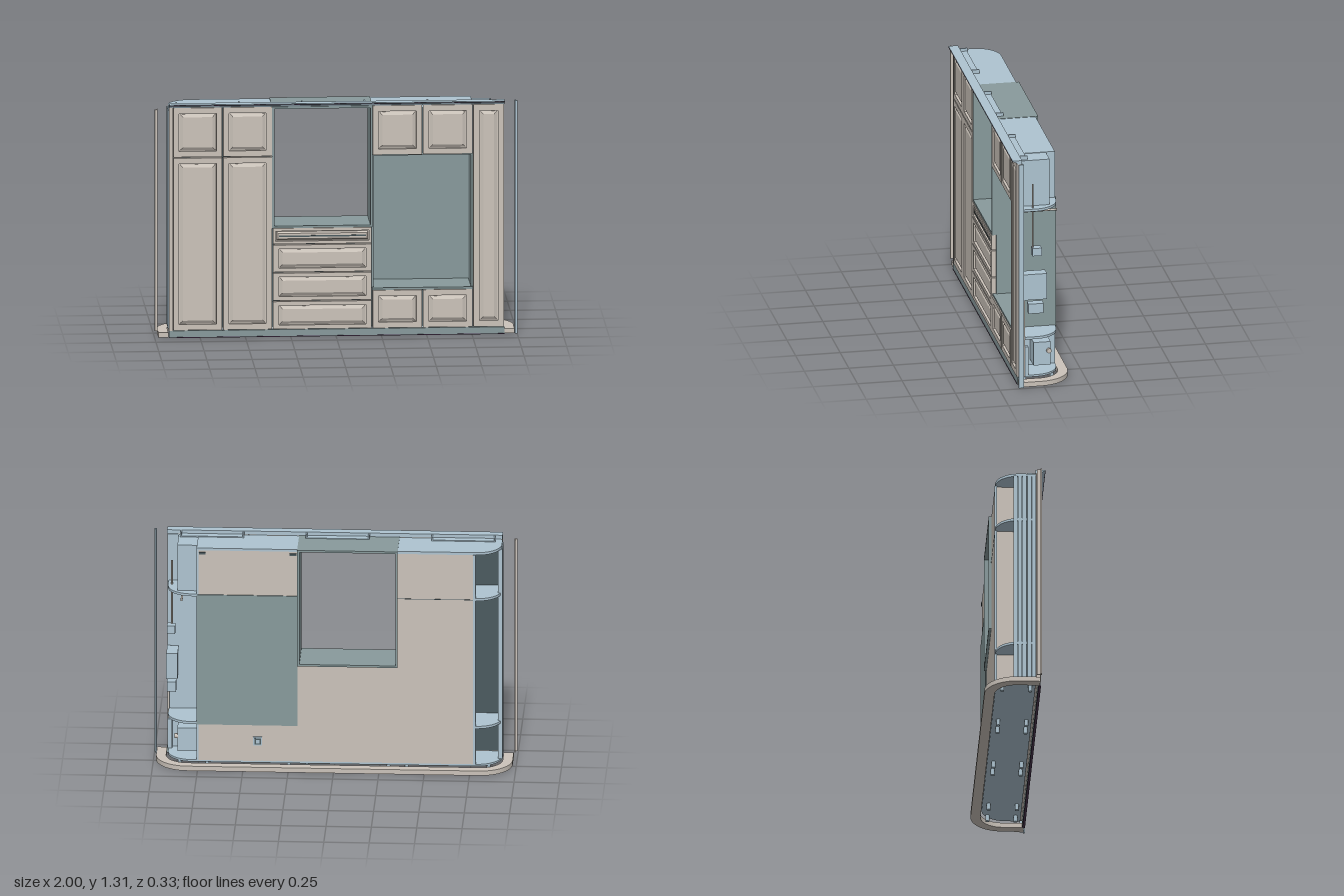
import * as THREE from 'three';

const mat = (name, color) => {
  const m = new THREE.MeshStandardMaterial({ color });
  m.name = name;
  return m;
};

export function createModel() {
  const root = new THREE.Group();
  root.name = 'wallCabinet';
  const beige = mat('beige', 0xcbc3ba);
  const blue = mat('paleBlue', 0xaec4d1);
  const teal = mat('greyTeal', 0x889a9c);
  const dark = mat('darkSlate', 0x4c5b60);
  const plum = mat('plum', 0x4a3650);

  const add = (name, geo, material) => {
    const m = new THREE.Mesh(geo, material);
    m.name = name;
    root.add(m);
    return m;
  };
  // box given by its limits on each axis
  const box = (name, material, x0, x1, y0, y1, z0, z1) => {
    const m = add(name, new THREE.BoxGeometry(x1 - x0, y1 - y0, z1 - z0), material);
    m.position.set((x0 + x1) / 2, (y0 + y1) / 2, (z0 + z1) / 2);
    return m;
  };
  const rect = (T, x0, x1, y0, y1) => {
    const s = new T();
    s.moveTo(x0, y0); s.lineTo(x1, y0); s.lineTo(x1, y1); s.lineTo(x0, y1); s.closePath();
    return s;
  };
  // flat outline in (x, -z) raised from y0 to y1
  const slab = (name, material, shape, y0, y1) => {
    const g = new THREE.ExtrudeGeometry(shape, { depth: y1 - y0, bevelEnabled: false, curveSegments: 16 });
    g.rotateX(-Math.PI / 2);
    g.translate(0, y0, 0);
    return add(name, g, material);
  };
  const rod = (name, material, r, len, x, y, z, axis = 'y') => {
    const m = add(name, new THREE.CylinderGeometry(r, r, len, 12), material);
    m.position.set(x, y, z);
    if (axis === 'z') m.rotation.x = Math.PI / 2;
    return m;
  };

  // framed front with a bevelled raised panel
  const G = 0.003, Z = 0.115;
  const front = (name, x0, x1, y0, y1, mx, my, bevel = 0.016) => {
    x0 += G; x1 -= G; y0 += G; y1 -= G;
    box(name + 'Back', beige, x0, x1, y0, y1, Z, Z + 0.012);
    const frame = rect(THREE.Shape, x0, x1, y0, y1);
    frame.holes.push(rect(THREE.Path, x0 + mx, x1 - mx, y0 + my, y1 - my));
    const fg = new THREE.ExtrudeGeometry(frame, { depth: 0.014, bevelEnabled: false });
    fg.translate(0, 0, Z + 0.012);
    add(name + 'Frame', fg, beige);
    const i = bevel + 0.005;
    const pg = new THREE.ExtrudeGeometry(rect(THREE.Shape, x0 + mx + i, x1 - mx - i, y0 + my + i, y1 - my - i),
      { depth: 0.001, bevelEnabled: true, bevelSegments: 1, bevelSize: bevel, bevelThickness: 0.01 });
    pg.translate(0, 0, Z + 0.013);
    add(name + 'Panel', pg, beige);
  };

  // ---- doors ----
  for (const [y0, y1, n] of [[0.04, 1.013, 'tallDoor'], [1.013, 1.295, 'upperDoor']]) {
    front(n + 'Inner', -0.625, -0.35, y0, y1, 0.032, 0.032);
    front(n + 'Outer', -0.9, -0.625, y0, y1, 0.032, 0.032);
  }
  box('cornerStile', beige, -0.92, -0.9, 0.04, 1.295, Z, 0.139);
  for (const [y0, y1, n] of [[0.04, 0.257, 'lowerDoor'], [1.013, 1.295, 'upperDoor']]) {
    front(n + 'A', 0.2, 0.478, y0, y1, 0.032, 0.032);
    front(n + 'B', 0.478, 0.755, y0, y1, 0.032, 0.032);
  }
  front('endPanel', 0.755, 0.93, 0.04, 1.295, 0.034, 0.034);

  // ---- drawers and the slotted top front ----
  [[0.04, 0.2], [0.2, 0.36], [0.36, 0.518]].forEach(([a, b], i) =>
    front('drawer' + i, -0.35, 0.2, a, b, 0.032, 0.022));
  front('slottedFront', -0.35, 0.2, 0.518, 0.612, 0.014, 0.016, 0.008);
  box('slot', dark, -0.315, 0.165, 0.56, 0.568, 0.135, 0.1405);

  // ---- carcasses ----
  box('tallCabinet', beige, -0.77, -0.352, 0.045, 1.275, -0.105, Z - 0.002);
  box('cabinetGapLine', dark, -0.9, -0.352, 0.05, 1.285, Z - 0.002, Z);
  box('drawerCabinet', beige, -0.352, 0.2, 0.045, 0.61, -0.105, Z - 0.002);
  box('drawerGapLine', dark, -0.352, 0.2, 0.05, 0.61, Z - 0.002, Z);
  box('backSeam', dark, -0.77, -0.352, 1.01, 1.013, -0.1065, -0.104);
  for (const [y0, y1, n] of [[0.045, 0.255, 'lowerCabinet'], [1.018, 1.277, 'upperCabinet']]) {
    box(n, beige, 0.2, 0.747, y0, y1, -0.105, Z - 0.002);
    box(n + 'GapLine', dark, 0.2, 0.75, y0, y1, Z - 0.002, Z);
    box(n + 'Side', blue, 0.747, 0.757, y0, y1, -0.105, Z - 0.001);
  }
  box('rightTop', blue, 0.2, 0.757, 1.277, 1.29, -0.105, Z);

  // ---- window frame through the cabinet ----
  box('windowSill', teal, -0.352, 0.202, 0.61, 0.622, -0.12, 0.139);
  box('windowHead', teal, -0.352, 0.202, 1.28, 1.292, -0.12, 0.139);
  box('windowJambRight', teal, -0.352, -0.34, 0.622, 1.28, -0.12, 0.139);
  box('windowJambLeft', teal, 0.19, 0.202, 0.622, 1.28, -0.12, 0.139);

  // ---- open niche ----
  box('nicheBack', teal, 0.2, 0.757, 0.257, 1.018, -0.112, -0.1);
  box('nicheFloor', teal, 0.2, 0.757, 0.255, 0.267, -0.105, 0.135);
  box('nicheCeiling', teal, 0.2, 0.757, 1.006, 1.018, -0.105, Z);
  box('nicheSideOuter', teal, 0.745, 0.757, 0.267, 1.006, -0.105, Z);
  box('nicheSideInner', teal, 0.198, 0.208, 0.267, 1.006, -0.105, Z);

  // ---- rounded end shelves ----
  const endShelf = (s, inner) => {
    const p = new THREE.Shape(), e = 0.92 * s, r = 0.135;
    p.moveTo(inner, -0.114);
    p.lineTo(e, -0.114);
    p.lineTo(e, 0.105 - r);
    p.bezierCurveTo(e, 0.105 - r * 0.45, e - s * r * 0.45, 0.105, e - s * r, 0.105);
    p.lineTo(inner, 0.105);
    p.closePath();
    return p;
  };
  for (const y of [0.26, 1.01]) {
    slab('rightEndShelf', blue, endShelf(1, 0.757), y - 0.004, y + 0.01);
    slab('leftEndShelf', blue, endShelf(-1, -0.77), y - 0.004, y + 0.01);
  }
  slab('leftTop', blue, endShelf(-1, -0.352), 1.275, 1.29);
  slab('bottomBoardLeft', blue, endShelf(-1, 0), 0.036, 0.047);
  slab('bottomBoardRight', blue, endShelf(1, 0), 0.036, 0.047);

  // ---- slatted side on the right end, with its edge post ----
  for (let i = 0; i < 5; i++) {
    const z = -0.01 + i * 0.025;
    box('sideSlat', blue, -0.925, -0.91, 0.047, 1.275, z, z + 0.022);
  }
  box('sideBacking', blue, -0.91, -0.9, 0.047, 1.275, -0.01, Z);
  box('cornerPost', blue, -0.782, -0.768, 0.047, 1.275, -0.108, -0.096);

  // ---- fittings at the open end ----
  box('upperEndBox', blue, 0.757, 0.865, 1.02, 1.287, -0.055, Z);
  box('endPanelLining', blue, 0.757, 0.928, 0.047, 1.29, 0.108, Z);
  box('lowerEndBox', blue, 0.757, 0.865, 0.08, 0.215, -0.06, 0.035);
  box('lowerEndUpright', blue, 0.9, 0.925, 0.047, 0.215, 0.075, 0.108);
  box('controlBox', blue, 0.865, 0.928, 0.49, 0.64, -0.028, 0.1);
  box('smallBox', blue, 0.875, 0.925, 0.408, 0.465, -0.01, 0.075);
  box('showerHolder', blue, 0.88, 0.925, 0.745, 0.79, 0.0, 0.052);
  rod('showerRod', beige, 0.005, 0.37, 0.9, 0.975, 0.046);
  rod('supplyPipe', beige, 0.006, 0.6, 0.922, 0.34, 0.1);
  rod('hangingRail', beige, 0.006, 0.21, 0.84, 0.98, 0.005, 'z');
  const knob = rod('valveKnob', beige, 0.014, 0.02, 0.87, 0.165, -0.05);
  knob.rotation.z = Math.PI / 2;

  // ---- socket and hinge plates on the back ----
  box('socketPlate', blue, 0.395, 0.445, 0.138, 0.188, -0.112, -0.1);
  box('socketFace', dark, 0.402, 0.438, 0.145, 0.181, -0.115, -0.11);
  box('socketButton', blue, 0.41, 0.43, 0.153, 0.173, -0.117, -0.113);
  for (const x of [0.225, 0.725]) box('backClip', dark, x - 0.018, x + 0.018, 1.255, 1.267, -0.11, -0.104);

  // ---- crown strip and its brackets ----
  const crown = new THREE.Shape();
  [[0.112, 1.293], [0.138, 1.293], [0.144, 1.302], [0.165, 1.309], [0.165, 1.314], [0.112, 1.314]]
    .forEach(([z, y], i) => (i ? crown.lineTo(-z, y) : crown.moveTo(-z, y)));
  const cg = new THREE.ExtrudeGeometry(crown, { depth: 1.85, bevelEnabled: false });
  cg.rotateY(Math.PI / 2);
  cg.translate(-0.92, 0, 0);
  add('crown', cg, blue);
  box('crownEdge', plum, -0.92, 0.93, 1.308, 1.311, 0.163, 0.166);
  for (const x of [-0.705, -0.012, 0.68]) {
    box('crownBracketPlate', blue, x - 0.175, x + 0.175, 1.288, 1.295, 0.07, 0.13);
    for (const s of [-1, 1])
      box('crownBracketFin', blue, x + s * 0.172 - 0.004, x + s * 0.172 + 0.004, 1.29, 1.312, 0.068, 0.125);
  }

  // ---- kick board, feet and floor rim ----
  box('kickBoard', teal, -0.92, 0.93, 0.004, 0.04, 0.125, 0.139);
  box('kickSeal', plum, -0.92, 0.93, 0, 0.004, 0.127, 0.141);
  for (const x of [-0.85, -0.4, -0.3, 0.15, 0.25, 0.7, 0.85])
    for (const z of [-0.07, 0.085]) rod('foot', blue, 0.011, 0.036, x, 0.018, z);
  const rim = new THREE.Shape();
  const end = -0.135;
  rim.moveTo(-0.98, end);
  rim.lineTo(-0.98, -0.015);
  rim.absarc(-0.8, -0.015, 0.18, Math.PI, Math.PI / 2, true);
  rim.lineTo(0.805, 0.165);
  rim.absarc(0.805, -0.015, 0.18, Math.PI / 2, 0, true);
  rim.lineTo(0.985, end);
  rim.lineTo(0.93, end);
  rim.lineTo(0.93, -0.015);
  rim.absarc(0.805, -0.015, 0.125, 0, Math.PI / 2, false);
  rim.lineTo(-0.8, 0.11);
  rim.absarc(-0.8, -0.015, 0.125, Math.PI / 2, Math.PI, false);
  rim.lineTo(-0.925, end);
  rim.closePath();
  slab('floorRim', beige, rim, 0.003, 0.03);

  // ---- free-standing wall trims ----
  box('rightTrimFace', beige, -1, -0.984, 0.04, 1.285, 0.134, 0.142);
  box('rightTrimReturn', beige, -0.99, -0.984, 0.04, 1.285, 0.115, 0.134);
  box('leftTrimFace', blue, 0.987, 1, 0.002, 1.312, 0.134, 0.143);
  box('leftTrimReturn', blue, 0.987, 0.993, 0.002, 1.312, 0.114, 0.134);
  return root;
}
